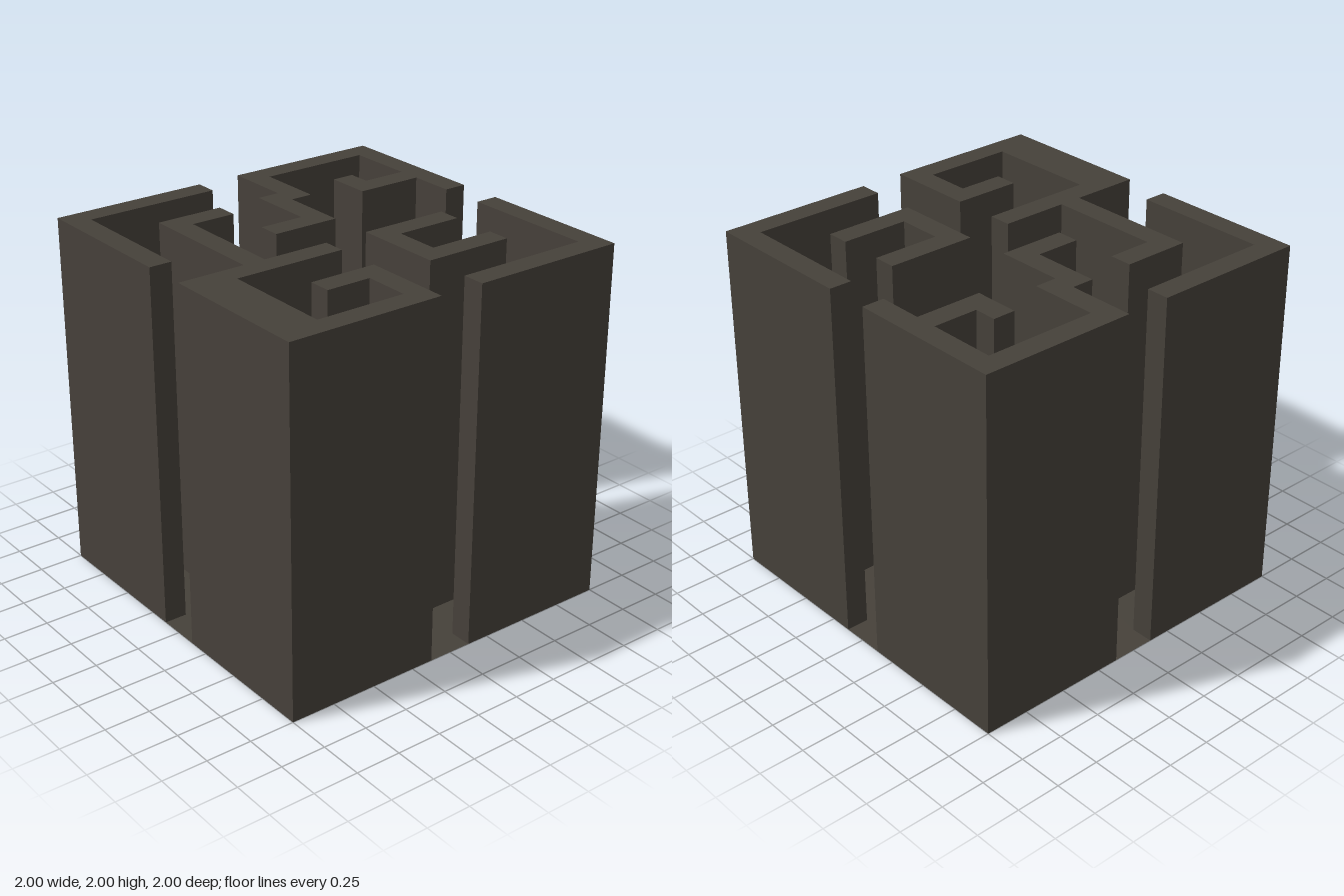
import * as THREE from 'three';

const UNIT = 1 / 8;
const HEIGHT = 2;

// Plan paths in eighths as [x, z]: the corridor side of each quarter, and its outer corner
const quarters = [
  {
    name: 'backRightWall', corner: [-8, -8],
    path: [[-8, -1], [-7, -1], [-7, -7], [-1, -7], [-1, -8]],
  },
  {
    name: 'backLeftWall', corner: [8, -8],
    path: [[1, -8], [1, -5], [0, -5], [0, -2], [-2, -2], [-2, -1], [1, -1], [1, -4], [2, -4], [2, -7],
      [7, -7], [7, -4], [5, -4], [5, -5], [4, -5], [4, -3], [7, -3], [7, -1], [8, -1]],
  },
  {
    name: 'frontLeftWall', corner: [8, 8],
    path: [[8, 1], [7, 1], [7, 7], [1, 7], [1, 8]],
  },
  {
    name: 'frontRightWall', corner: [-8, 8],
    path: [[-1, 8], [-1, 4], [-4, 4], [-4, 5], [-2, 5], [-2, 7], [-6, 7], [-6, 2], [-1, 2], [-1, 1],
      [-4, 1], [-4, -4], [-2, -4], [-2, -5], [-5, -5], [-5, 1], [-8, 1]],
  },
];
const island = [[1, 1], [5, 1], [5, 2], [2, 2], [2, 4], [5, 4], [5, 5], [1, 5]];

// Shapes lie in x, -z so that turning them flat restores the plan
const toPoints = (path) => path.map(([x, z]) => new THREE.Vector2(x * UNIT, -z * UNIT));

function flatGeometry(shape, y) {
  return new THREE.ShapeGeometry(shape).rotateX(-Math.PI / 2).translate(0, y, 0);
}

// Upright faces around a closed outline, facing outwards
function sideGeometry(points) {
  const ring = THREE.ShapeUtils.isClockWise(points) ? [...points].reverse() : points;
  const positions = [];
  ring.forEach((a, i) => {
    const b = ring[(i + 1) % ring.length];
    const corner = (p, y) => [p.x, y, -p.y];
    positions.push(
      ...corner(a, 0), ...corner(b, 0), ...corner(b, HEIGHT),
      ...corner(a, 0), ...corner(b, HEIGHT), ...corner(a, HEIGHT),
    );
  });
  const geometry = new THREE.BufferGeometry();
  geometry.setAttribute('position', new THREE.Float32BufferAttribute(positions, 3));
  geometry.computeVertexNormals();
  return geometry;
}

export function createModel() {
  const model = new THREE.Group();
  model.name = 'maze';
  const stone = new THREE.MeshStandardMaterial({ name: 'darkStone', color: 0x46413a, side: THREE.DoubleSide });

  const addMesh = (parent, name, geometry) => {
    const mesh = new THREE.Mesh(geometry, stone);
    mesh.name = name;
    parent.add(mesh);
  };

  // Hollow walls, open underneath
  const addWall = (name, path) => {
    const points = toPoints(path);
    const wall = new THREE.Group();
    wall.name = name;
    addMesh(wall, 'wallTop', flatGeometry(new THREE.Shape(points), HEIGHT));
    addMesh(wall, 'wallSides', sideGeometry(points));
    model.add(wall);
  };
  quarters.forEach(({ name, path, corner }) => addWall(name, [...path, corner]));
  addWall('islandWall', island);

  // Corridor floor between the walls
  const floor = new THREE.Shape(toPoints(quarters.flatMap(({ path }) => path)));
  floor.holes.push(new THREE.Path(toPoints(island)));
  addMesh(model, 'corridorFloor', flatGeometry(floor, 0));

  return model;
}
